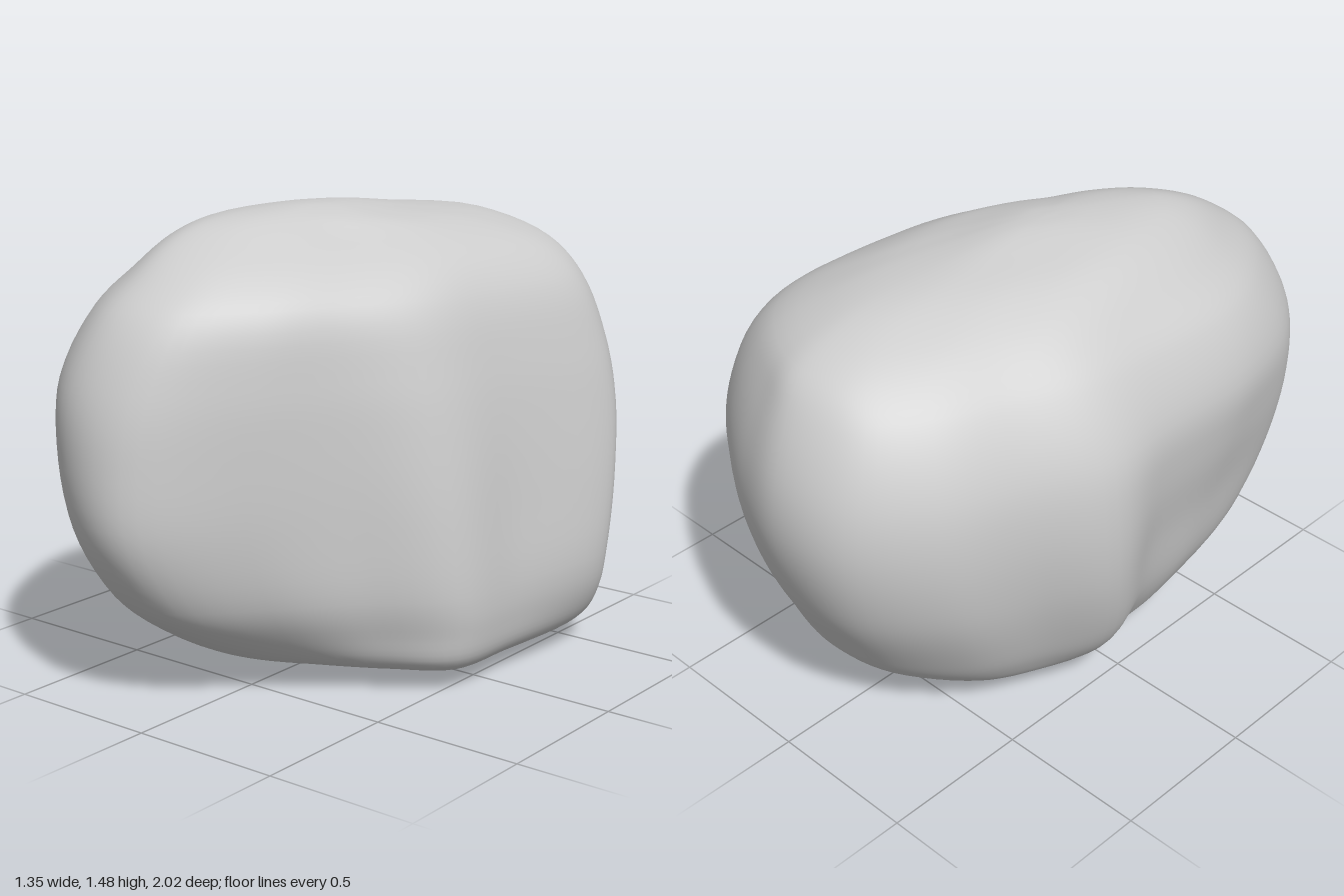
import * as THREE from 'three';

// Plan outlines (x, z), running from the back round by +x, the front and -x
const LOW = [0.1, -0.65, 0.25, -0.64, 0.42, -0.62, 0.55, -0.57, 0.6, -0.44, 0.58, -0.1, 0.55, 0.18, 0.36, 0.33, 0.15, 0.45,
  -0.05, 0.54, -0.25, 0.5, -0.38, 0.38, -0.43, 0.2, -0.44, 0.05, -0.46, -0.1, -0.42, -0.26, -0.31, -0.45, -0.1, -0.6];
const MIDDLE = [0, -0.94, 0.25, -0.87, 0.46, -0.74, 0.63, -0.62, 0.67, -0.47, 0.6, -0.1, 0.56, 0.2, 0.35, 0.44, 0.17, 0.7,
  -0.06, 0.98, -0.3, 0.95, -0.5, 0.72, -0.57, 0.35, -0.59, 0.05, -0.66, -0.2, -0.54, -0.45, -0.44, -0.7, -0.24, -0.9];
const HIGH = [0, -0.91, 0.17, -0.86, 0.35, -0.76, 0.47, -0.63, 0.51, -0.45, 0.47, -0.1, 0.42, 0.15, 0.29, 0.4, 0.16, 0.62,
  -0.03, 0.82, -0.25, 0.86, -0.45, 0.66, -0.55, 0.4, -0.54, 0.05, -0.52, -0.2, -0.43, -0.43, -0.34, -0.66, -0.2, -0.84];
const CROWN = [0.04, -0.6, 0.11, -0.59, 0.18, -0.52, 0.22, -0.42, 0.25, -0.3, 0.26, -0.1, 0.22, 0.05, 0.14, 0.2, 0.06, 0.38,
  -0.05, 0.53, -0.18, 0.6, -0.27, 0.52, -0.32, 0.35, -0.33, 0.15, -0.29, -0.05, -0.22, -0.22, -0.14, -0.38, -0.04, -0.54];

// Levels: height, x range, z range, outline (0 low, 1 middle, 2 high, 3 crown)
const LEVELS = [
  [0.003, -0.12, 0.12, -0.25, 0.06, 0],
  [0.02, -0.25, 0.36, -0.42, 0.24, 0],
  [0.05, -0.35, 0.54, -0.54, 0.39, 0],
  [0.1, -0.46, 0.61, -0.65, 0.54, 0.1],
  [0.2, -0.55, 0.66, -0.74, 0.71, 0.6],
  [0.32, -0.61, 0.68, -0.81, 0.85, 0.85],
  [0.55, -0.66, 0.67, -0.93, 0.98, 1],
  [0.8, -0.68, 0.635, -1, 1, 1.35],
  [1.0, -0.66, 0.59, -0.99, 0.97, 1.7],
  [1.2, -0.56, 0.52, -0.91, 0.87, 2],
  [1.31, -0.46, 0.43, -0.82, 0.75, 2.25],
  [1.4, -0.36, 0.27, -0.6, 0.61, 2.8],
  [1.45, -0.27, 0.12, -0.24, 0.48, 3],
  [1.478, -0.14, 0.01, -0.02, 0.25, 3],
];

// Fits an outline into the unit square
function unitOutline(flat) {
  const points = [];
  for (let i = 0; i < flat.length; i += 2) points.push(new THREE.Vector2(flat[i], flat[i + 1]));
  const box = new THREE.Box2().setFromPoints(points);
  const size = box.getSize(new THREE.Vector2());
  return points.map((p) => p.sub(box.min).divide(size));
}

function createRockGeometry(around, rows) {
  const outlines = [LOW, MIDDLE, HIGH, CROWN].map(unitOutline);

  // Closed smooth cross-section at each level
  const rings = LEVELS.map(([y, x0, x1, z0, z1, shape]) => {
    const k = Math.min(outlines.length - 2, Math.floor(shape));
    const points = outlines[k].map((p, i) => {
      const q = p.clone().lerp(outlines[k + 1][i], shape - k);
      return new THREE.Vector3(x0 + q.x * (x1 - x0), y, z0 + q.y * (z1 - z0));
    });
    return new THREE.CatmullRomCurve3(points, true, 'catmullrom', 0.5);
  });

  // Smooth meridians from the base to the crown
  const base = new THREE.Vector3(0, 0, -0.1);
  const crown = new THREE.Vector3(-0.06, 1.483, 0.11);
  const positions = [];
  for (let i = 0; i < around; i++) {
    const points = [base, ...rings.map((ring) => ring.getPoint(i / around)), crown];
    const meridian = new THREE.CatmullRomCurve3(points, false, 'centripetal');
    for (let j = 0; j <= rows; j++) {
      const p = meridian.getPoint(j / rows);
      positions.push(p.x, Math.max(0, p.y), p.z);
    }
  }

  // Skin, with all meridians sharing one vertex at each pole
  const index = [];
  const vertex = (i, j) => (j === 0 || j === rows ? j : (i % around) * (rows + 1) + j);
  for (let i = 0; i < around; i++) {
    for (let j = 0; j < rows; j++) {
      const a = vertex(i, j), b = vertex(i + 1, j), c = vertex(i + 1, j + 1), d = vertex(i, j + 1);
      if (j < rows - 1) index.push(a, d, c);
      if (j > 0) index.push(a, c, b);
    }
  }
  const geometry = new THREE.BufferGeometry();
  geometry.setAttribute('position', new THREE.Float32BufferAttribute(positions, 3));
  geometry.setIndex(index);
  geometry.computeVertexNormals();
  return geometry;
}

export function createModel() {
  const group = new THREE.Group();
  group.name = 'rock';
  const material = new THREE.MeshStandardMaterial({ color: 0xcccccc, roughness: 0.9 });
  const boulder = new THREE.Mesh(createRockGeometry(108, 75), material);
  boulder.name = 'boulder';
  group.add(boulder);
  return group;
}
